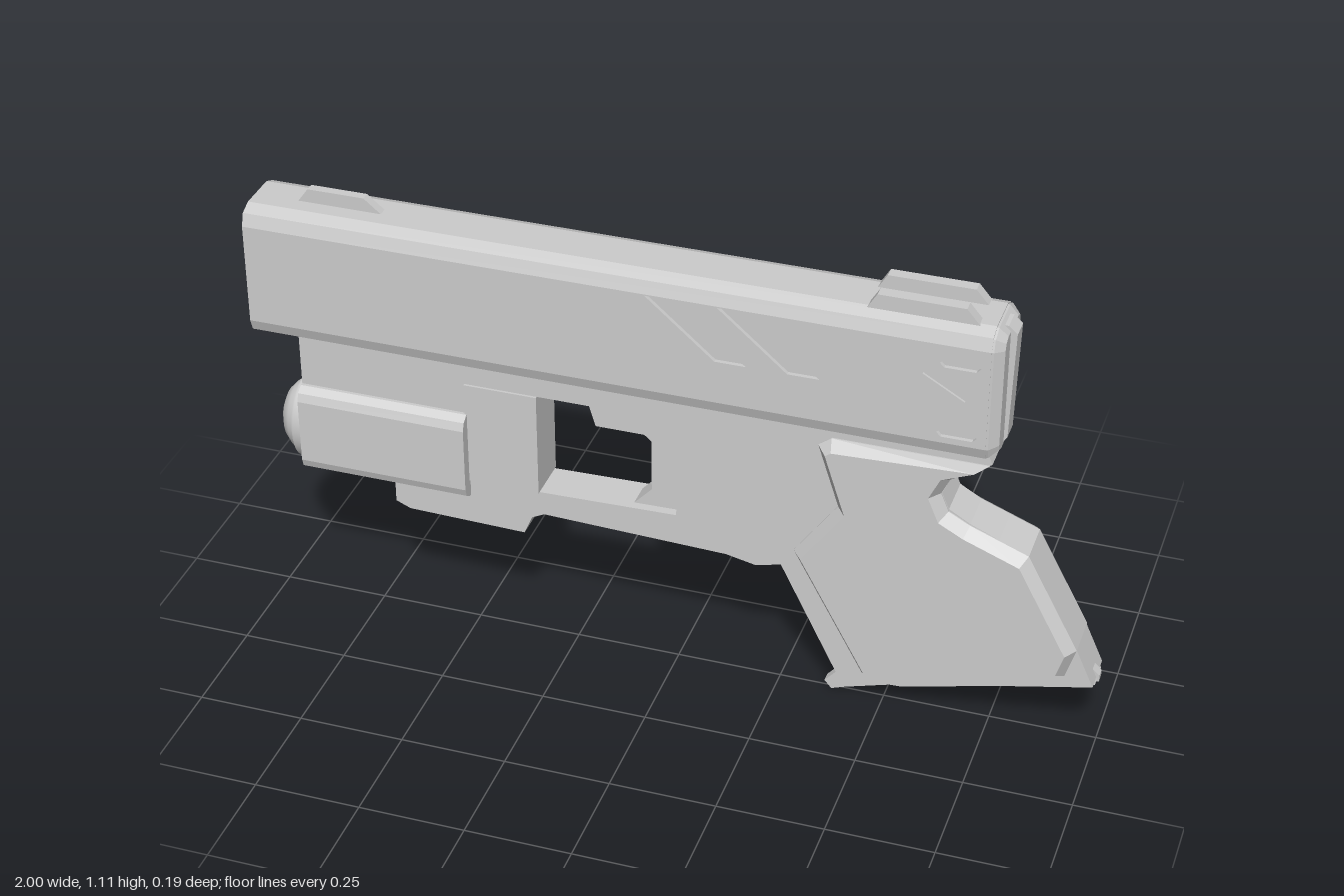
import * as THREE from 'three';
import { toCreasedNormals } from 'three/addons/utils/BufferGeometryUtils.js';

const material = new THREE.MeshStandardMaterial({ color: 0xcccccc });

const shapeOf = (pts, holes = []) => {
  const shape = new THREE.Shape(pts.map(([x, y]) => new THREE.Vector2(x, y)));
  for (const h of holes) shape.holes.push(new THREE.Path(h.map(([x, y]) => new THREE.Vector2(x, y))));
  return shape;
};

// side outline (x, y) extruded between z0 and z1
const sideSlab = (pts, z0, z1, holes) =>
  new THREE.ExtrudeGeometry(shapeOf(pts, holes), { depth: z1 - z0, bevelEnabled: false }).translate(0, 0, z0);

// right half of a symmetric cross-section (z, y), mirrored into a full loop
const mirrored = (half) => [...half, ...half.map(([z, y]) => [-z, y]).reverse()];

// cross-section extruded along x
const sectionBar = (half, x0, x1, holes = [], bevel = 0) =>
  new THREE.ExtrudeGeometry(shapeOf(mirrored(half), holes.map(mirrored)), {
    depth: x1 - x0 - 2 * bevel, bevelEnabled: bevel > 0, bevelSize: bevel,
    bevelThickness: bevel, bevelOffset: -bevel, bevelSegments: 1,
  }).rotateY(Math.PI / 2).translate(x0 + bevel, 0, 0);

export function createModel() {
  const model = new THREE.Group();
  const add = (name, geometry) => {
    const mesh = new THREE.Mesh(geometry, material);
    mesh.name = name;
    model.add(mesh);
    return mesh;
  };

  // hollow slide, with shallow pockets where the side plates sit
  add('slide', sectionBar(
    [[0.05, 1.073], [0.08, 1.06], [0.09, 1.03], [0.08, 1.03], [0.08, 0.785], [0.09, 0.785], [0.08, 0.757], [0.05, 0.745]],
    -1, 0.72,
    [[[0.035, 1.035], [0.05, 1.015], [0.05, 0.8], [0.035, 0.78]]]));

  // side plates with slanted vents and small slots cut through
  const vent = (x) => [[x, 1.027], [x + 0.073, 1.027], [x + 0.232, 0.89], [x + 0.16, 0.89]];
  const slot = (y) => [[0.61, y], [0.62, y + 0.01], [0.69, y + 0.01], [0.7, y], [0.69, y - 0.01], [0.62, y - 0.01]];
  const plate = [[-1, 0.785], [0.72, 0.785], [0.72, 1.03], [-1, 1.03]];
  const arrow = [[0.575, 0.955], [0.575, 0.845], [0.67, 0.9]];
  for (const [side, s] of [['left', 1], ['right', -1]]) {
    const [a, b, c] = [0.08 * s, 0.09 * s, 0.096 * s];
    add(side + 'SidePlate', sideSlab(plate, Math.min(a, b), Math.max(a, b),
      [vent(-0.05), vent(0.115), slot(0.985), slot(0.81)]));
    add(side + 'Arrow', sideSlab(arrow, Math.min(b, c), Math.max(b, c)));
    // rear sight posts
    add(side + 'RearSight', sideSlab([[0.435, 1.065], [0.69, 1.065], [0.655, 1.106], [0.46, 1.106]],
      0.042 * s - 0.014, 0.042 * s + 0.014));
  }
  add('frontSight', sideSlab([[-0.9, 1.065], [-0.685, 1.065], [-0.735, 1.106], [-0.87, 1.106]], -0.011, 0.011));

  // rear plate and its raised centre strip
  add('rearPlate', sectionBar(
    [[0.05, 1.07], [0.08, 1.057], [0.089, 1.03], [0.089, 0.785], [0.08, 0.76], [0.05, 0.748]],
    0.69, 0.745, [], 0.02));
  add('rearStrip', sideSlab([[0.71, 1.065], [0.74, 1.063], [0.76, 1.045], [0.753, 0.785], [0.74, 0.765], [0.71, 0.762]],
    -0.025, 0.025));

  // frame, trigger guard and grip core in one outline
  const back = [[0.945, 0.28], [0.82, 0.505], [0.69, 0.56], [0.64, 0.59], [0.623, 0.63], [0.64, 0.67]];
  add('frame', sideSlab([
    [-0.9, 0.75], [-0.9, 0.58], [-0.68, 0.58], [-0.68, 0.33], [-0.645, 0.315], [-0.36, 0.308], [-0.34, 0.355],
    [-0.31, 0.37], [0.13, 0.355], [0.2, 0.34], [0.26, 0.355], [0.405, 0.065], [0.56, 0.085], [0.99, 0.18],
    ...back, [0.73, 0.725], [0.72, 0.75],
  ], -0.052, 0.052, [
    [[-0.32, 0.43], [0.01, 0.437], [0.025, 0.64], [-0.18, 0.64], [-0.195, 0.69], [-0.32, 0.69]],
  ]));
  add('guardBlock', new THREE.BoxGeometry(0.175, 0.26, 0.116).translate(-0.4075, 0.56, 0));

  // trigger set inside the guard opening
  add('trigger', sideSlab([[0.03, 0.645], [-0.09, 0.64], [-0.055, 0.61], [-0.055, 0.48], [-0.1, 0.432], [0.03, 0.432]],
    -0.03, 0.03));

  // grip panels: full-width body with chamfered edges
  const grip = shapeOf([
    [0.34, 0.7], [0.37, 0.722], [0.725, 0.722], [0.64, 0.67], [0.621, 0.63], [0.64, 0.585], [0.69, 0.558],
    [0.825, 0.505], [0.948, 0.275], [0.925, 0.2], [0.645, 0.14], [0.62, 0.15], [0.46, 0.095],
    [0.29, 0.405], [0.39, 0.545],
  ]);
  add('gripPanels', new THREE.ExtrudeGeometry(grip, {
    depth: 0.11, bevelThickness: 0.03, bevelSize: 0.02, bevelOffset: -0.02, bevelSegments: 1,
  }).translate(0, 0, -0.055));

  // stepped magazine base with a thin toe
  add('baseStep', sideSlab([[0.41, 0.09], [0.41, 0.058], [0.55, 0.063], [0.992, 0.175], [0.93, 0.25]], -0.035, 0.035));
  add('baseToe', sideSlab([[0.36, 0.02], [0.377, 0], [0.41, 0.012], [0.51, 0.042], [0.997, 0.17], [0.997, 0.185],
    [0.93, 0.25], [0.41, 0.09], [0.4, 0.065]], -0.012, 0.012));

  // light under the barrel
  add('lightBody', sectionBar(
    [[0.06, 0.612], [0.078, 0.6], [0.085, 0.58], [0.085, 0.42], [0.078, 0.4], [0.06, 0.388]], -0.9, -0.49));
  const lens = new THREE.LatheGeometry(
    [[0, 0.072], [0.035, 0.068], [0.065, 0.056], [0.085, 0.038], [0.092, 0.022], [0.103, 0.022], [0.105, 0.018], [0.105, -0.01]]
      .reverse().map(([r, h]) => new THREE.Vector2(r, h)), 32);
  add('lightLens', toCreasedNormals(lens.rotateZ(Math.PI / 2).scale(1, 1, 0.8).translate(-0.9, 0.492, 0), 0.6));

  return model;
}
